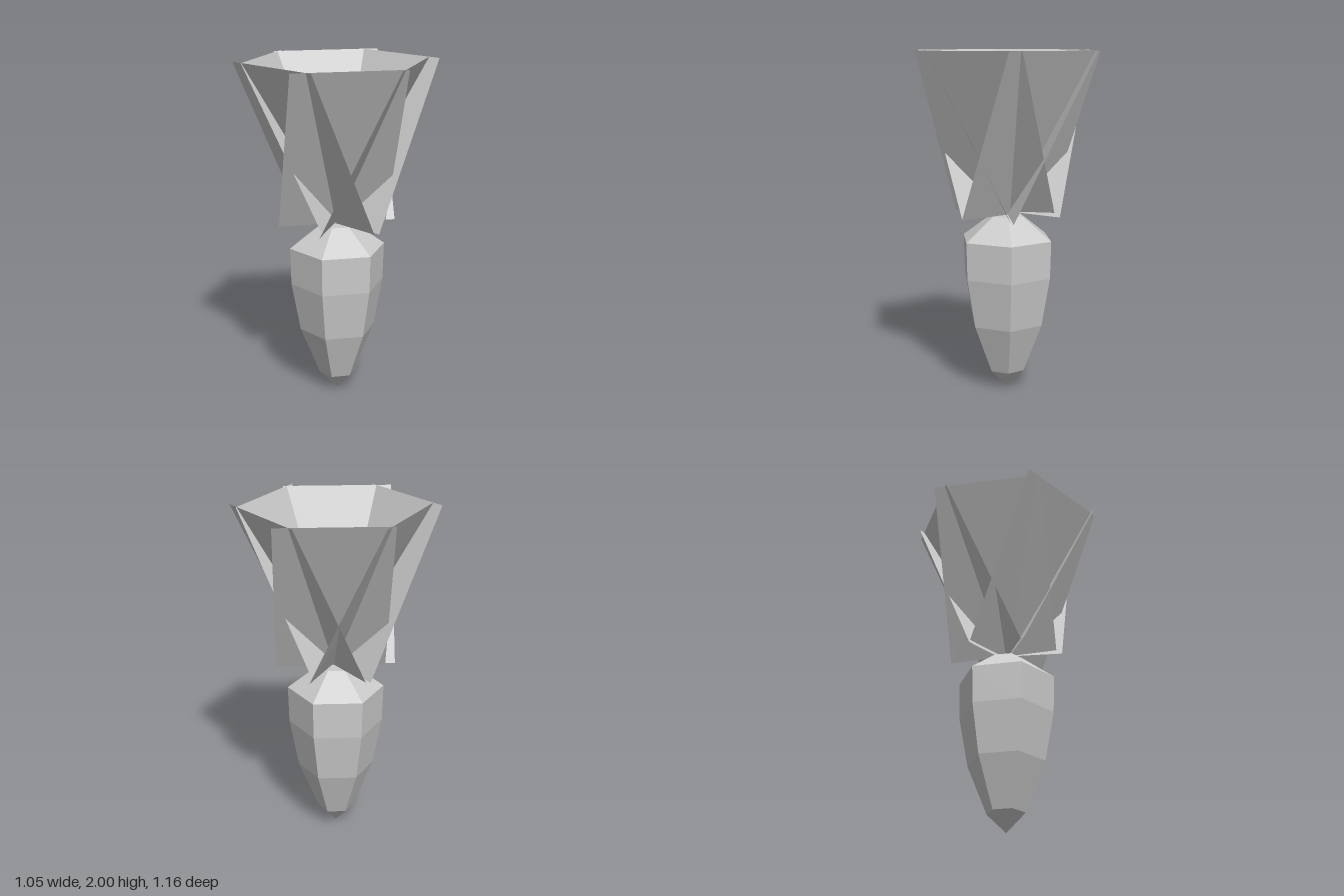
import * as THREE from 'three';

export function createModel() {
  const model = new THREE.Group();
  const rootMaterial = new THREE.MeshStandardMaterial({ color: 0xcccccc, flatShading: true });
  const leafMaterial = new THREE.MeshStandardMaterial({
    color: 0xcccccc, flatShading: true, side: THREE.DoubleSide,
  });

  // Six-sided tapered root: radius, height from the tip to the flat crown
  const profile = [
    [0, 0], [0.11, 0.11], [0.225, 0.4], [0.277, 0.69],
    [0.283, 0.91], [0.1, 1.045], [0, 1.045],
  ].map(([r, y]) => new THREE.Vector2(r, y));
  const root = new THREE.Mesh(new THREE.LatheGeometry(profile, 6), rootMaterial);
  root.name = 'root';
  model.add(root);

  // A flat leaf whose foot crosses the axis and whose top leans outward.
  // Ends a and b are the top corners [x, z] with the height of the foot below.
  function addLeaf(angle, a, b, name) {
    const geometry = new THREE.PlaneGeometry(1, 1);
    const dx = 0.46 * Math.cos(angle), dz = 0.46 * Math.sin(angle);
    const position = geometry.attributes.position;
    [a, b, a, b].forEach(([x, z, foot], i) => {
      if (i < 2) position.setXYZ(i, x, 2, z);
      else position.setXYZ(i, x - dx, foot, z - dz);
    });
    geometry.computeVertexNormals();
    const leaf = new THREE.Mesh(geometry, leafMaterial);
    leaf.name = name;
    return leaf;
  }

  // Three slightly uneven leaves, repeated on the opposite side
  const leaves = [
    [0, [0.465, 0.333, 1.055], [0.456, -0.3, 1.08]],
    [Math.PI / 3, [-0.068, 0.578, 1.05], [0.483, 0.257, 1.05]],
    [Math.PI * 2 / 3, [-0.525, 0.255, 1.05], [0.04, 0.553, 1.05]],
  ];
  for (const side of [0, 1]) {
    const half = new THREE.Group();
    half.name = side ? 'leavesOpposite' : 'leaves';
    leaves.forEach(([angle, a, b], i) => half.add(addLeaf(angle, a, b, `leaf${side * 3 + i + 1}`)));
    half.rotation.y = side * Math.PI;
    model.add(half);
  }
  return model;
}
